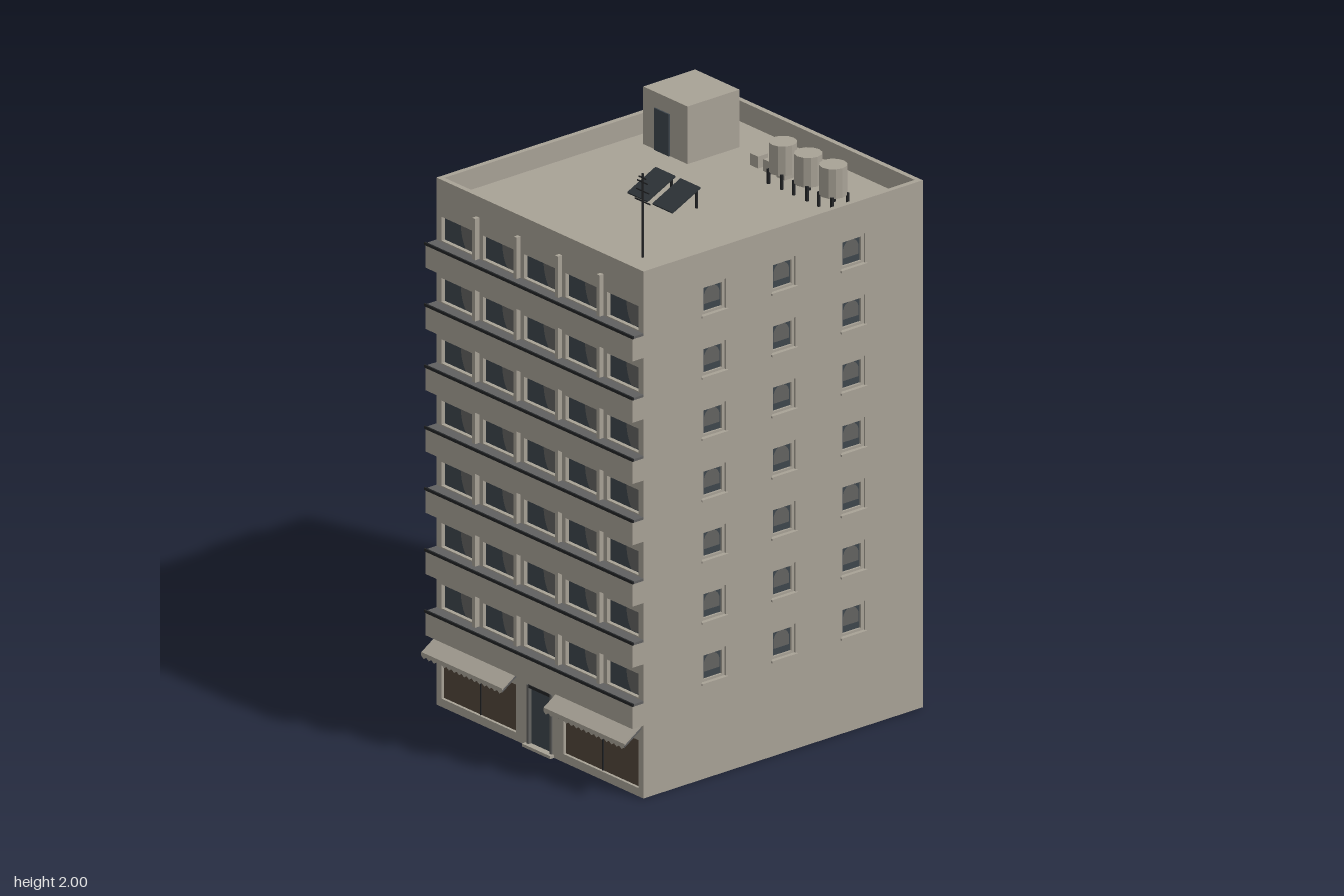
import * as THREE from 'three';

const mat = (name, color, double) => {
  const m = new THREE.MeshStandardMaterial({ color });
  m.name = name;
  if (double) m.side = THREE.DoubleSide;
  return m;
};

export function createModel() {
  const M = {
    wall: mat('concrete', 0xa8a296, true),
    glass: mat('windowGlass', 0x3e464c, true),
    curtain: mat('curtainGrey', 0x636361, true),
    shutter: mat('shutterBrown', 0x52463b, true),
    dark: mat('darkMetal', 0x222426),
    floor: mat('balconyFloor', 0x606060),
    panel: mat('solarPanel', 0x2e3438),
  };
  const model = new THREE.Group();
  model.name = 'apartmentBlock';

  const T = 0.018, TOP = 1.785, ROOF = 1.715, FRONT = 0.54, BACK = -0.605, HALF = 0.5;
  const ROWS = Array.from({ length: 7 }, (_, i) => 0.33 + i * 0.2075);

  const add = (parent, name, geo, material, x = 0, y = 0, z = 0) => {
    const mesh = new THREE.Mesh(geo, material);
    mesh.name = name;
    mesh.position.set(x, y, z);
    parent.add(mesh);
    return mesh;
  };
  // box given by its min and max corners
  const box = (parent, name, material, x0, x1, y0, y1, z0, z1) =>
    add(parent, name, new THREE.BoxGeometry(x1 - x0, y1 - y0, z1 - z0), material,
      (x0 + x1) / 2, (y0 + y1) / 2, (z0 + z1) / 2);
  const outline = (Type, x0, x1, y0, y1) => new Type([
    new THREE.Vector2(x0, y0), new THREE.Vector2(x1, y0),
    new THREE.Vector2(x1, y1), new THREE.Vector2(x0, y1)]);
  const extrude = (shape, depth) =>
    new THREE.ExtrudeGeometry(shape, { depth, bevelEnabled: false, curveSegments: 8 });

  // wall in local x/y, outer surface at z = 0
  const wall = (name, x0, x1, holes) => {
    const g = new THREE.Group();
    g.name = name;
    const s = outline(THREE.Shape, x0, x1, 0, TOP);
    for (const h of holes) s.holes.push(outline(THREE.Path, ...h));
    add(g, name + 'Panel', extrude(s, T), M.wall, 0, 0, -T);
    model.add(g);
    return g;
  };
  const windowFrame = (parent, x0, x1, y0, y1, b) => {
    const s = outline(THREE.Shape, x0, x1, y0, y1);
    s.holes.push(outline(THREE.Path, x0 + b, x1 - b, y0 + b, y1 - b));
    add(parent, 'windowFrame', extrude(s, 0.008), M.wall, 0, 0, -0.015);
  };

  // front wall with balcony windows, shops and entrance
  const cols = [-0.4, -0.2, 0, 0.2, 0.4];
  const frontHoles = [[-0.06, 0.06, 0.01, 0.21], [-0.475, -0.115, 0.028, 0.19], [0.115, 0.475, 0.028, 0.19]];
  for (const y of ROWS) for (const x of cols) frontHoles.push([x - 0.076, x + 0.076, y + 0.004, y + 0.085]);
  const front = wall('frontWall', -HALF + T, HALF - T, frontHoles);
  front.position.z = FRONT;

  const drape = new THREE.Shape();
  drape.moveTo(0, 0.08);
  drape.lineTo(0.07, 0.08);
  drape.lineTo(0.07, 0.03);
  drape.quadraticCurveTo(0.065, 0.008, 0.05, 0.004);
  drape.lineTo(0.025, 0.004);
  drape.quadraticCurveTo(0.003, 0.03, 0, 0.08);
  const drapeGeo = new THREE.ShapeGeometry(drape, 6);
  for (const y of ROWS) {
    for (const x of cols) {
      add(front, 'balconyWindow', new THREE.PlaneGeometry(0.152, 0.081), M.glass, x, y + 0.0445, -0.014);
      add(front, 'balconyCurtain', drapeGeo, M.curtain, x + 0.004, y + 0.003, -0.011);
    }
    // balcony band, floor and handrail
    box(front, 'balconyBand', M.wall, -HALF, HALF, y - 0.083, y - 0.008, 0, 0.045);
    box(front, 'balconyFloor', M.floor, -HALF, HALF, y - 0.008, y, 0, 0.045);
    box(front, 'balconyRail', M.dark, -0.504, 0.504, y - 0.006, y + 0.003, 0.042, 0.048);
    for (const x of [-0.3, -0.1, 0.1, 0.3])
      box(front, 'balconyDivider', M.wall, x - 0.007, x + 0.007, y, y + (y > 1.5 ? 0.14 : 0.125), 0, 0.017);
  }

  // entrance
  box(front, 'entranceDoor', M.glass, -0.06, 0.06, 0.01, 0.21, -0.016, -0.008);
  box(front, 'entranceStep', M.wall, -0.068, 0.068, 0, 0.01, 0, 0.016);
  for (const s of [-1, 1]) box(front, 'doorPost', M.curtain, s * 0.056 - 0.005, s * 0.056 + 0.005, 0.01, 0.21, -0.01, 0.004);
  box(front, 'doorTransom', M.dark, -0.06, 0.06, 0.2, 0.21, -0.01, 0.003);

  // shops with shutters and awnings
  for (const s of [-1, 1]) {
    const cx = s * 0.295;
    box(front, 'shopShutter', M.shutter, cx - 0.18, cx + 0.18, 0.028, 0.19, -0.016, -0.01);
    box(front, 'shopMullion', M.dark, cx - 0.002, cx + 0.002, 0.028, 0.19, -0.01, -0.006);
    const slope = (y0, y1) => {
      const p = new THREE.Shape();
      p.moveTo(0, y1 + 0.045);
      p.lineTo(0.07, y1);
      p.lineTo(0.07, y0);
      p.lineTo(0, y0 + 0.045);
      return extrude(p, 0.39);
    };
    const top = add(front, 'awning', slope(0.194, 0.2), M.wall, cx + 0.195, 0, 0);
    const under = add(front, 'awningUnderside', slope(0.186, 0.194), M.floor, cx + 0.195, 0, 0);
    top.rotation.y = under.rotation.y = -Math.PI / 2;
    // local depth runs to -x, so the profile faces the street
    const teeth = [new THREE.Vector2(-0.195, 0.2)];
    for (let i = 0; i <= 32; i++) teeth.push(new THREE.Vector2(-0.195 + i * 0.39 / 32, i % 2 ? 0.18 : 0.188));
    teeth.push(new THREE.Vector2(0.195, 0.2));
    add(front, 'awningValance', new THREE.ShapeGeometry(new THREE.Shape(teeth)), M.wall, cx, 0, 0.071);
  }

  // side walls with three columns of framed windows
  const sideZ = [0.25, -0.035, -0.32];
  for (const s of [1, -1]) {
    const us = sideZ.map((z) => -s * z);
    const holes = [];
    for (const y of ROWS) for (const u of us) holes.push([u - 0.049, u + 0.049, y - 0.008, y + 0.095]);
    const ends = [-s * FRONT, -s * BACK].sort((a, b) => a - b);
    const side = wall(s > 0 ? 'leftWall' : 'rightWall', ends[0], ends[1], holes);
    side.rotation.y = s * Math.PI / 2;
    side.position.x = s * HALF;
    for (const y of ROWS) for (const u of us) {
      windowFrame(side, u - 0.049, u + 0.049, y - 0.008, y + 0.095, 0.011);
      add(side, 'sideWindow', new THREE.PlaneGeometry(0.09, 0.095), M.glass, u, y + 0.043, -0.014);
      const arch = new THREE.Shape();
      arch.moveTo(-0.032, 0);
      arch.lineTo(0.032, 0);
      arch.lineTo(0.032, 0.025);
      arch.absarc(0, 0.025, 0.032, 0, Math.PI);
      add(side, 'sideCurtain', new THREE.ShapeGeometry(arch, 6), M.curtain, u, y + 0.026, -0.012);
      box(side, 'windowSill', M.wall, u - 0.053, u + 0.053, y - 0.012, y - 0.005, -0.01, 0.007);
    }
  }

  // back wall with flush windows
  const back = wall('backWall', -HALF + T, HALF - T, []);
  back.rotation.y = Math.PI;
  back.position.z = BACK;
  for (const y of ROWS) for (const x of [-0.28, 0, 0.28])
    box(back, 'backWindow', M.glass, x - 0.042, x + 0.042, y - 0.008, y + 0.082, 0, 0.002);

  // roof deck and stair house
  box(model, 'roofDeck', M.wall, -HALF + T, HALF - T, ROOF - 0.01, ROOF, BACK + T, FRONT - T);
  box(model, 'stairHouse', M.wall, -0.417, -0.203, ROOF, 1.91, -0.45, -0.237);
  box(model, 'stairHouseDoor', M.glass, -0.36, -0.288, ROOF, 1.857, -0.237, -0.232);

  // water tanks on legs
  for (const x of [0.113, 0.235, 0.356]) {
    const tank = new THREE.CylinderGeometry(0.045, 0.045, 0.1, 12).toNonIndexed();
    tank.computeVertexNormals();
    add(model, 'waterTank', tank, M.wall, x, 1.81, -0.36);
    for (const a of [-1, 1]) for (const b of [-1, 1])
      add(model, 'tankLeg', new THREE.BoxGeometry(0.008, 0.05, 0.008), M.dark,
        x + a * 0.032, ROOF + 0.025, -0.36 + b * 0.032);
  }

  // air units
  for (const x of [-0.053, 0.012, 0.075])
    box(model, 'airUnit', M.wall, x - 0.02, x + 0.02, ROOF, ROOF + 0.04, -0.422, -0.382);

  // tilted solar panels with rear struts
  for (const x of [-0.073, 0.048]) {
    const p = add(model, 'solarPanel', new THREE.BoxGeometry(0.095, 0.006, 0.128), M.panel, x, 1.757, 0.021);
    p.rotation.x = 0.44;
    for (const d of [-0.04, 0.04])
      box(model, 'panelStrut', M.dark, x + d - 0.003, x + d + 0.003, ROOF, 1.775, -0.03, -0.024);
  }

  // antenna
  box(model, 'antennaMast', M.dark, 0.281, 0.286, ROOF, 2, 0.357, 0.362);
  [[1.905, 0.037], [1.94, 0.031], [1.97, 0.025], [1.985, 0.018]].forEach(([y, r]) =>
    box(model, 'antennaBar', M.dark, 0.283 - r, 0.283 + r, y - 0.002, y + 0.002, 0.358, 0.361));

  return model;
}
